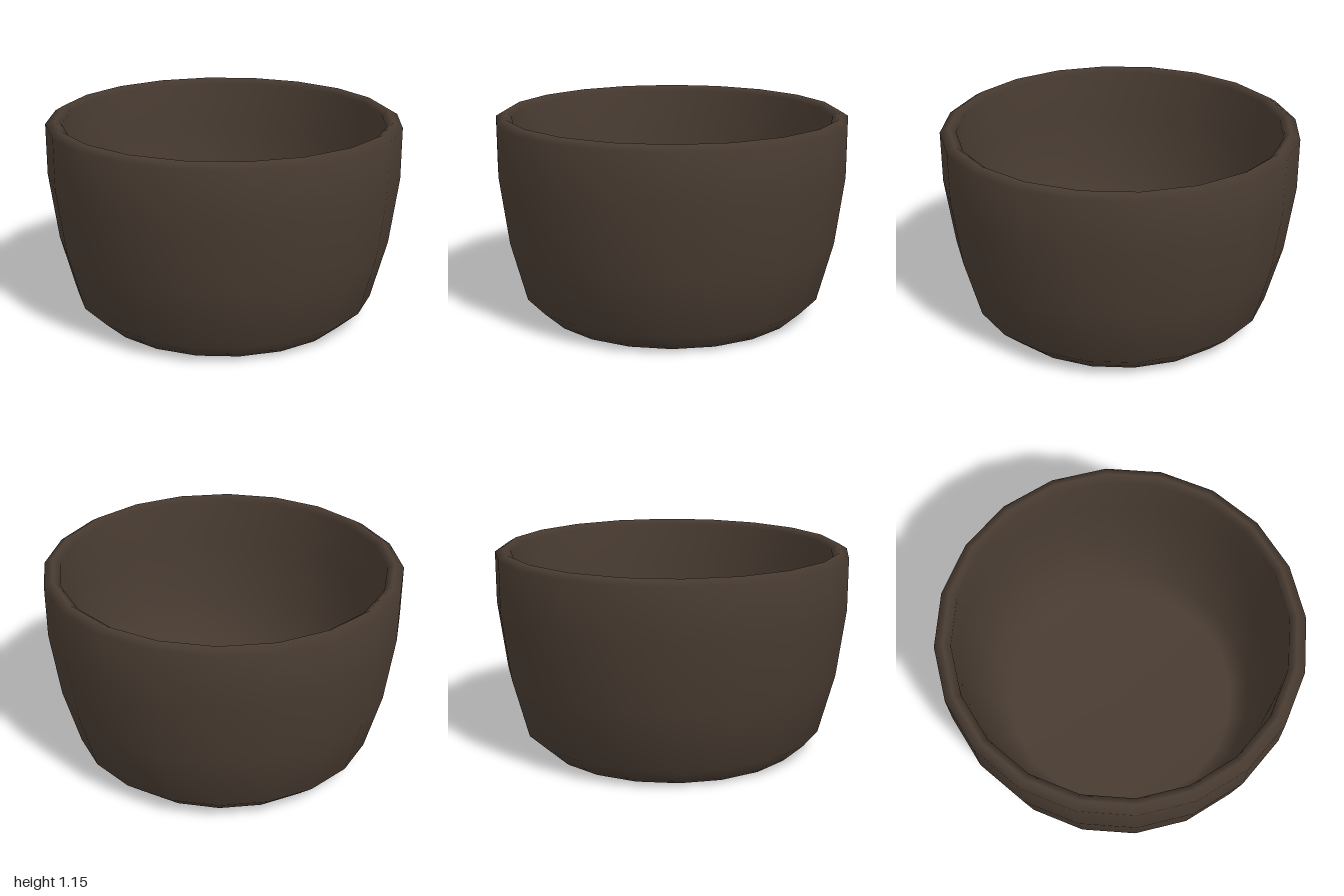
import * as THREE from 'three';

const SIDES = 20;

// Turn a profile of [radius, height] pairs around the y axis.
function turned(name, profile, material) {
  const points = profile.map(([r, y]) => new THREE.Vector2(r, y));
  const mesh = new THREE.Mesh(new THREE.LatheGeometry(points, SIDES), material);
  mesh.name = name;
  return mesh;
}

export function createModel() {
  const group = new THREE.Group();
  group.name = 'bowl';

  const darkClay = new THREE.MeshStandardMaterial({ color: 0x493c32 });
  darkClay.name = 'dark clay';

  // One closed profile keeps the shading smooth over the base, wall and rim.
  group.add(turned('bowlBody', [
    // underside and outer wall
    [0, 0], [0.74, 0], [0.86, 0.11], [0.95, 0.45], [1, 0.83], [1, 1.12],
    // rounded rim
    [0.95, 1.15], [0.91, 1.12],
    // inner wall and floor
    [0.91, 0.83], [0.86, 0.47], [0.78, 0.18], [0.68, 0.09], [0, 0.09],
  ], darkClay));

  return group;
}
